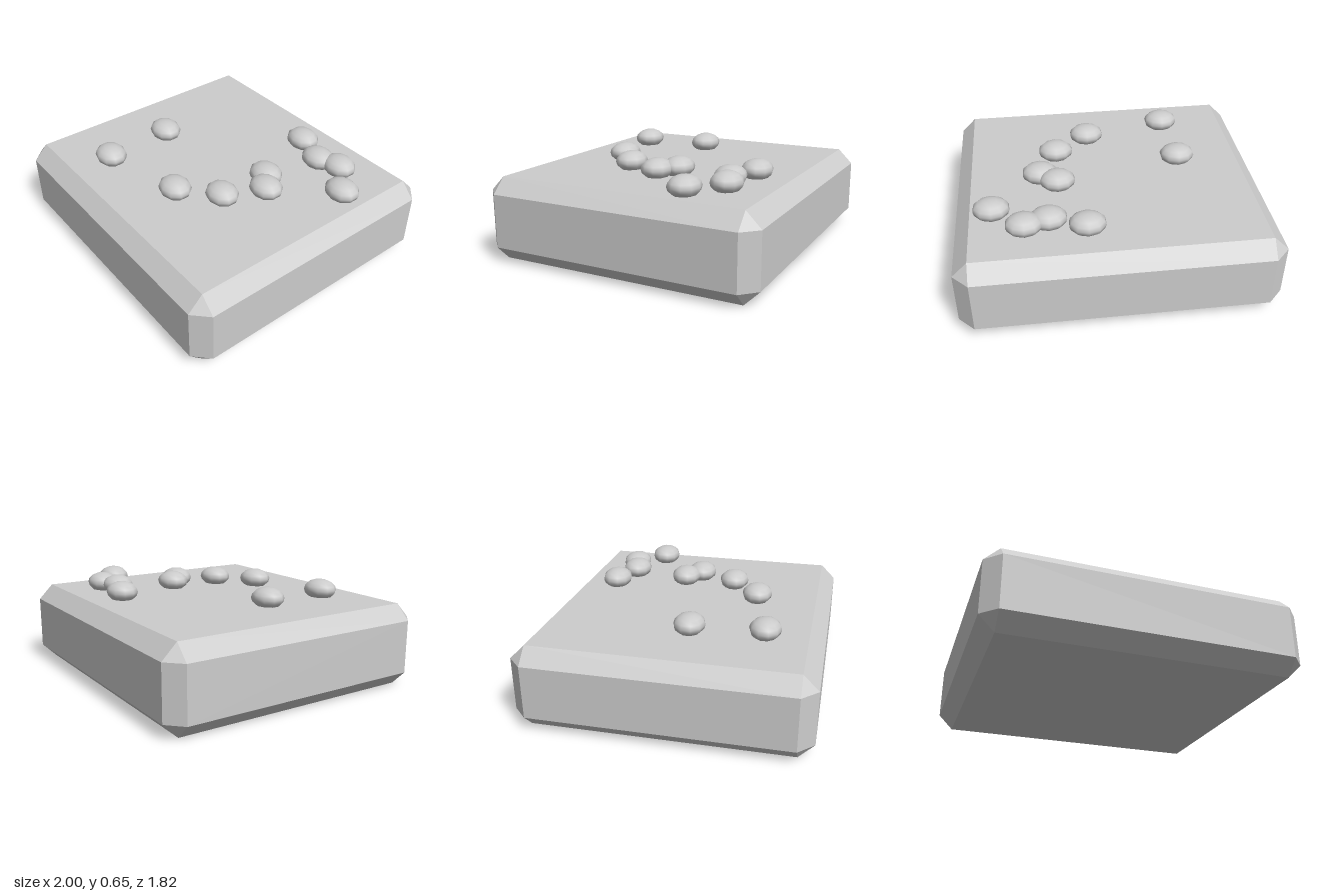
import * as THREE from 'three';
import { ConvexGeometry } from 'three/addons/geometries/ConvexGeometry.js';

// Box with every edge cut at 45 degrees
function chamferedBox(hx, hy, hz, c) {
  const points = [];
  for (const sx of [-1, 1]) for (const sy of [-1, 1]) for (const sz of [-1, 1]) {
    points.push(
      new THREE.Vector3(sx * hx, sy * (hy - c), sz * (hz - c)),
      new THREE.Vector3(sx * (hx - c), sy * hy, sz * (hz - c)),
      new THREE.Vector3(sx * (hx - c), sy * (hy - c), sz * hz)
    );
  }
  return new ConvexGeometry(points);
}

export function createModel() {
  const model = new THREE.Group();
  model.name = 'studdedSlab';
  const grey = new THREE.MeshStandardMaterial({ color: 0xcccccc });
  grey.name = 'light grey';

  // Slab
  const slab = new THREE.Mesh(chamferedBox(1, 0.2675, 0.91, 0.096), grey);
  slab.name = 'slab';
  slab.position.y = 0.2675;
  model.add(slab);

  // Flattened pebbles scattered on top, as [x, z]
  const spots = [
    [0.19, -0.595], [0.42, -0.515], [0.57, -0.56], [0.765, -0.385], [0.34, -0.125],
    [0.45, -0.03], [0.33, 0.227], [0.1, 0.422], [-0.46, 0.55], [-0.49, 0.088],
  ];
  const pebbleGeometry = new THREE.SphereGeometry(1, 10, 8);
  pebbleGeometry.rotateY(Math.PI / 2);
  pebbleGeometry.scale(0.117, 0.067, 0.1);
  const pebbles = new THREE.Group();
  pebbles.name = 'pebbles';
  spots.forEach(([x, z], i) => {
    const pebble = new THREE.Mesh(pebbleGeometry, grey);
    pebble.name = `pebble${i + 1}`;
    pebble.position.set(x, 0.583, z);
    pebbles.add(pebble);
  });
  model.add(pebbles);
  return model;
}
